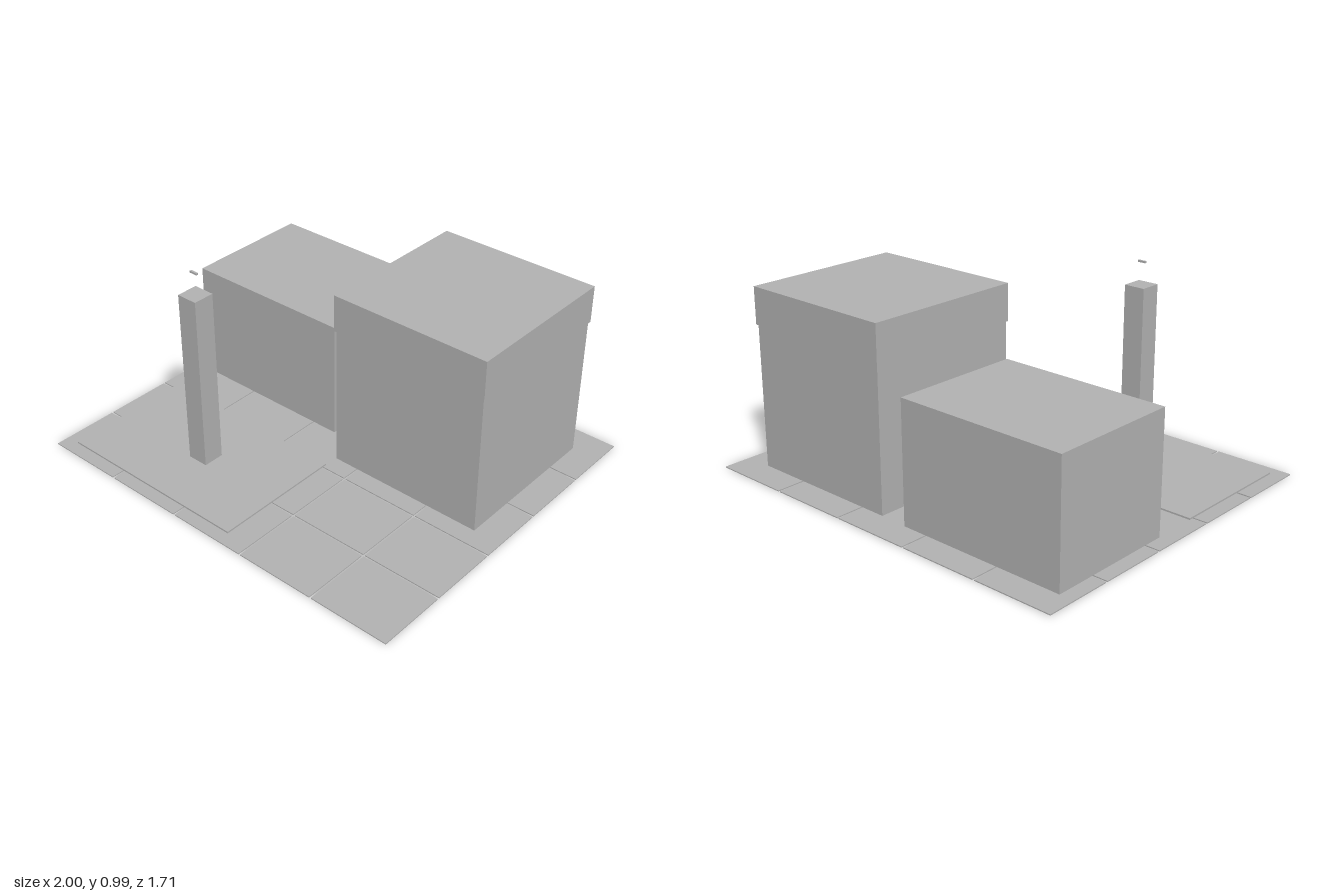
import * as THREE from 'three';

export function createModel() {
  const model = new THREE.Group();
  const grey = new THREE.MeshStandardMaterial({ color: 0xb2b2b2 });
  grey.name = 'plain grey';

  // Box given by its extents along each axis
  function block(name, [x0, x1], [y0, y1], [z0, z1], parent = model) {
    const mesh = new THREE.Mesh(new THREE.BoxGeometry(x1 - x0, y1 - y0, z1 - z0), grey);
    mesh.position.set((x0 + x1) / 2, (y0 + y1) / 2, (z0 + z1) / 2);
    mesh.name = name;
    parent.add(mesh);
  }

  // Paving: five by five thin tiles with narrow open joints
  const paving = new THREE.Group();
  paving.name = 'paving';
  model.add(paving);
  const joint = 0.01, thick = 0.005;
  const width = (2 - 4 * joint) / 5, depth = (1.706 - 4 * joint) / 5;
  for (let i = 0; i < 5; i++) {
    for (let j = 0; j < 5; j++) {
      const x = -1 + i * (width + joint);
      const z = -0.853 + j * (depth + joint);
      block('pavingTile', [x, x + width], [0, thick], [z, z + depth], paving);
    }
  }

  // Raised forecourt slab
  block('forecourtSlab', [-0.93, 0.07], [thick, 0.013], [0.147, 0.79]);

  // Low building
  block('lowBuilding', [-0.93, -0.07], [thick, 0.59], [-0.717, -0.072]);

  // Tall building with a slightly overhanging top band
  block('tallBuilding', [0.072, 0.862], [thick, 0.7], [-0.713, 0.077]);
  block('tallBuildingBand', [0.065, 0.869], [0.7, 0.88], [-0.72, 0.084]);

  // Pillar and the small bar hovering above it
  block('pillar', [-0.445, -0.341], [0.013, 0.88], [0.417, 0.521]);
  block('floatingBar', [-0.413, -0.373], [0.982, 0.991], [0.464, 0.474]);

  return model;
}
